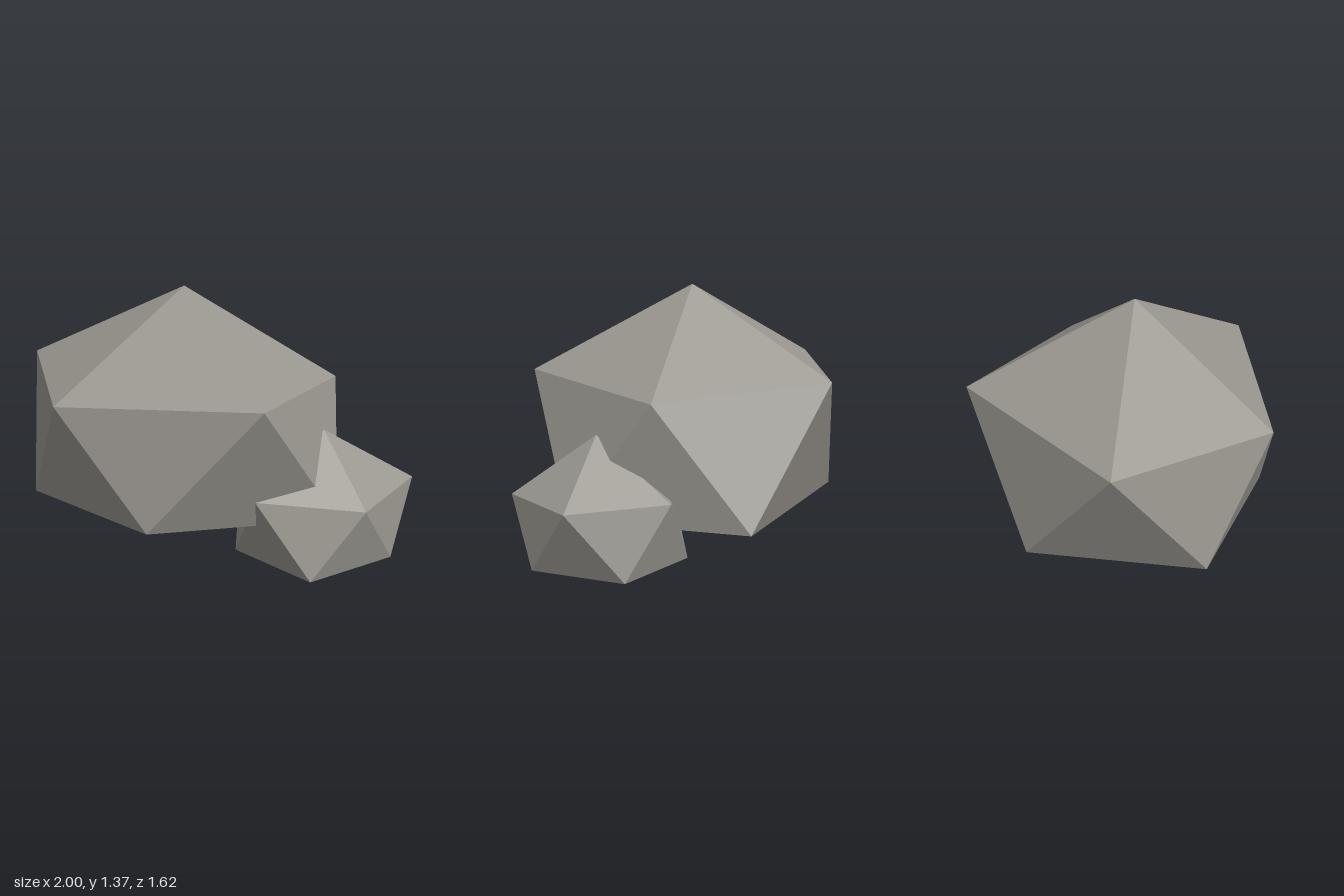
import * as THREE from 'three';

// Twenty-faced rock: a top point, two staggered rings of five, and a bottom point.
// Rings run from +x towards +z; the lower ring is half a step ahead of the upper.
function rock(name, { top, upper, lower, bottom }, material) {
  const corners = [];
  for (let i = 0; i < 5; i++) {
    const j = (i + 1) % 5;
    corners.push(
      top, upper[j], upper[i],
      upper[i], upper[j], lower[i],
      upper[j], lower[j], lower[i],
      bottom, lower[i], lower[j]
    );
  }
  const geometry = new THREE.BufferGeometry();
  geometry.setAttribute('position', new THREE.Float32BufferAttribute(corners.flat(), 3));
  geometry.computeVertexNormals(); // unshared corners give flat facets
  const mesh = new THREE.Mesh(geometry, material);
  mesh.name = name;
  return mesh;
}

export function createModel() {
  const stone = new THREE.MeshStandardMaterial({ color: 0x9a9790 });
  stone.name = 'warm grey stone';

  const group = new THREE.Group();
  group.name = 'rocks';

  // Large boulder
  group.add(rock('largeRock', {
    top: [-0.18, 1.37, 0],
    upper: [[0.64, 0.855, 0], [0.125, 0.915, 0.81], [-0.865, 0.86, 0.42], [-0.985, 0.915, -0.51], [0.12, 0.91, -0.81]],
    lower: [[0.57, 0.215, 0.47], [-0.43, 0.26, 0.655], [-1, 0.26, 0], [-0.46, 0.23, -0.737], [0.575, 0.21, -0.49]],
    bottom: [-0.18, 0, 0]
  }, stone));

  // Small stone with a flattened base, leaning into the boulder
  group.add(rock('smallRock', {
    top: [0.515, 0.66, 0.325],
    upper: [[1, 0.38, 0.325], [0.65, 0.36, 0.735], [0.115, 0.385, 0.61], [0.12, 0.37, 0.05], [0.65, 0.363, -0.105]],
    lower: [[0.835, 0.03, 0.56], [0.375, 0.005, 0.755], [0.055, 0.003, 0.325], [0.39, 0.005, -0.12], [0.862, 0.015, 0.07]],
    bottom: [0.515, 0, 0.325]
  }, stone));

  return group;
}
